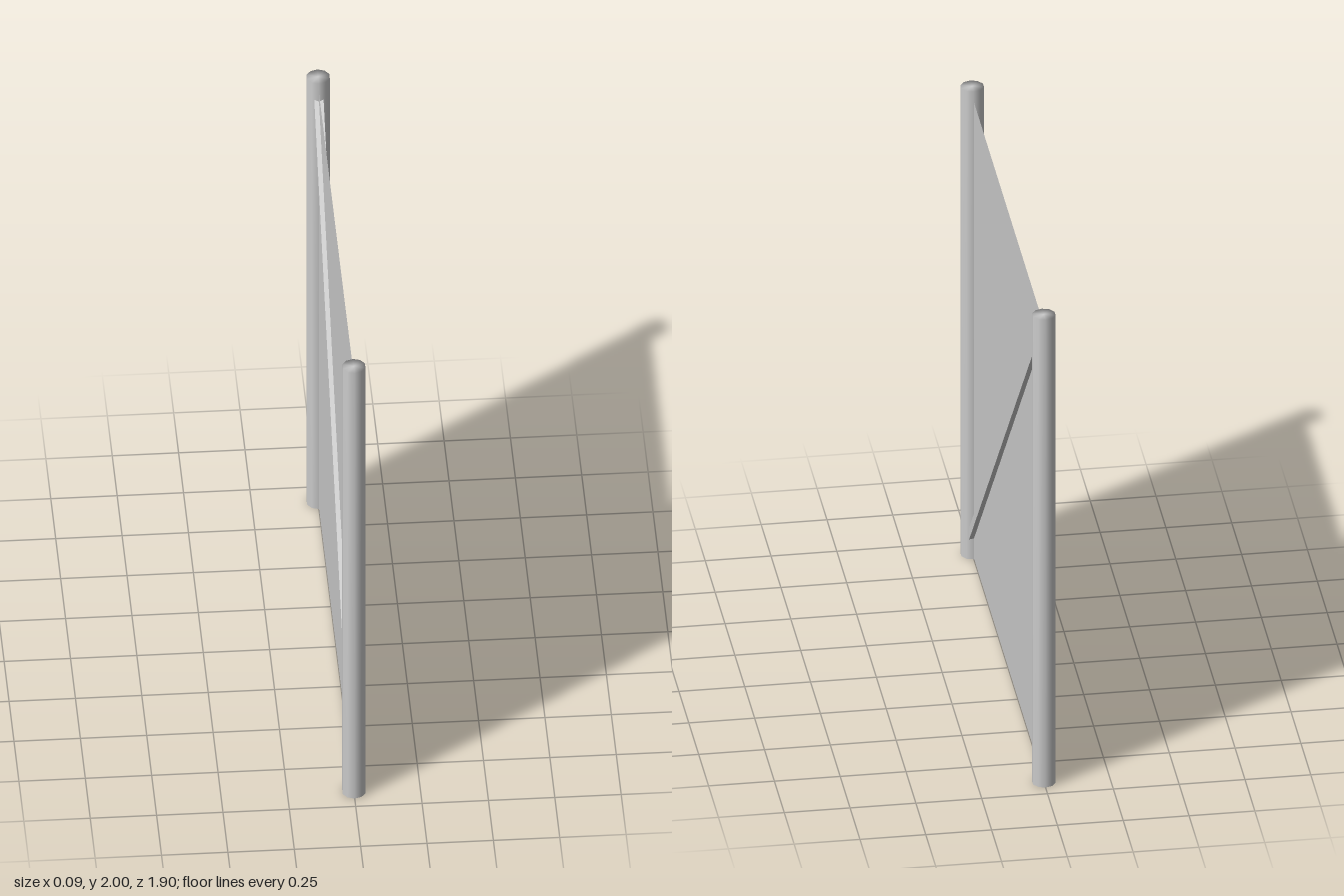
import * as THREE from 'three';

const POST_Z = 0.906, POST_R = 0.045, HEIGHT = 2;

export function createModel() {
  const group = new THREE.Group();
  group.name = 'fencePanel';
  const material = new THREE.MeshStandardMaterial({ color: 0xcccccc, side: THREE.DoubleSide });

  const add = (name, geometry, z = 0) => {
    const mesh = new THREE.Mesh(geometry, material);
    mesh.name = name;
    mesh.position.z = z;
    group.add(mesh);
  };

  // Round posts, capped on top and open underneath
  const profile = [[POST_R, 0], [POST_R, HEIGHT], [0, HEIGHT]].map(([x, y]) => new THREE.Vector2(x, y));
  const post = new THREE.LatheGeometry(profile, 10);
  add('frontPost', post, POST_Z);
  add('backPost', post, -POST_Z);

  // Thin sheet stretched between the posts
  const sheet = new THREE.PlaneGeometry(2 * 0.88, 1.95);
  sheet.rotateY(Math.PI / 2).translate(0, 0.98, 0);
  add('sheet', sheet);

  // Diagonal brace through the sheet, its ends cut upright against the posts
  const t = 0.035;
  const outline = new THREE.Shape([
    new THREE.Vector2(-0.87, 0.08),
    new THREE.Vector2(0.87, 1.875),
    new THREE.Vector2(0.87, 1.925),
    new THREE.Vector2(-0.87, 0.13),
  ]);
  const brace = new THREE.ExtrudeGeometry(outline, { depth: t, bevelEnabled: false });
  brace.translate(0, 0, -t / 2).rotateY(Math.PI / 2);
  add('diagonalBrace', brace);

  return group;
}
